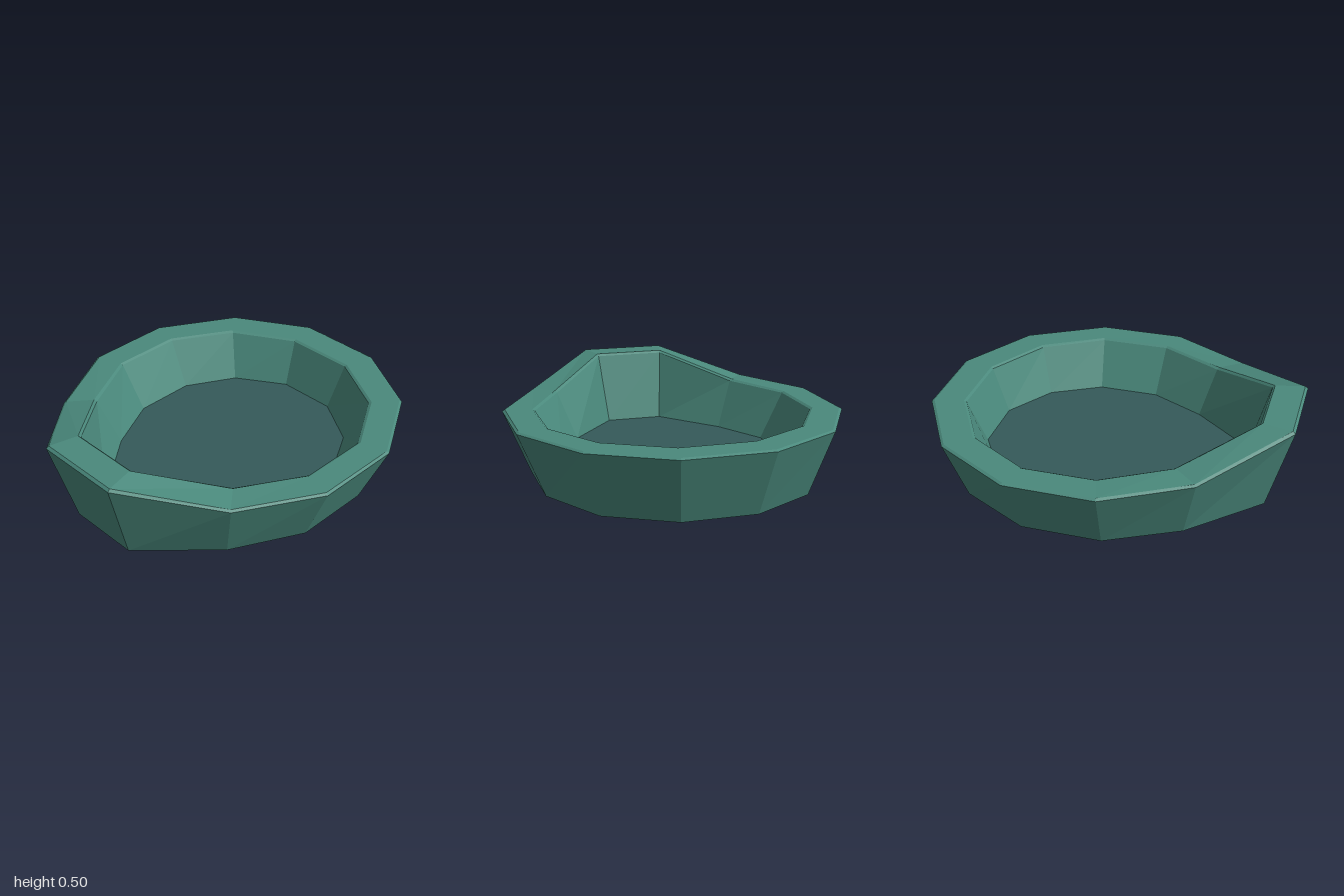
import * as THREE from 'three';

// Each half ring runs from the left side, past the front, to the raised right side.
// The back half is its mirror, giving a twelve-sided loop.
function ring(xs, zs, ys) {
  const front = xs.map((x, i) => new THREE.Vector3(x, ys[i], zs[i]));
  const back = front.map((p) => new THREE.Vector3(p.x, p.y, -p.z)).reverse();
  return [...front, ...back];
}

const level = (y) => Array(6).fill(y);

// Flat-shaded faces between successive rings
function skin(rings) {
  const points = [];
  for (let r = 0; r < rings.length - 1; r++) {
    const low = rings[r], high = rings[r + 1];
    low.forEach((a, i) => {
      const j = (i + 1) % low.length;
      points.push(a, high[i], low[j], low[j], high[i], high[j]);
    });
  }
  return finish(points);
}

// Flat polygon closing a ring, facing up
function disc(loop) {
  const centre = new THREE.Vector3(0, loop[0].y, 0);
  return finish(loop.flatMap((p, i) => [centre, loop[(i + 1) % loop.length], p]));
}

function finish(points) {
  const geometry = new THREE.BufferGeometry().setFromPoints(points);
  geometry.computeVertexNormals();
  return geometry;
}

export function createModel() {
  const group = new THREE.Group();
  group.name = 'basin';

  const shell = new THREE.MeshStandardMaterial({ color: 0x4a897c, side: THREE.DoubleSide, flatShading: true });
  shell.name = 'sea green';
  const bottom = new THREE.MeshStandardMaterial({ color: 0x355a5a, side: THREE.DoubleSide, flatShading: true });
  bottom.name = 'dark slate teal';

  // Cross-section rings, with the rim lifted into a peak on the right side
  const foot = ring([0.87, 0.67, 0.3, -0.13, -0.51, -0.87], [0.2, 0.55, 0.745, 0.745, 0.55, 0.2], level(0));
  const outer = ring([0.995, 0.755, 0.335, -0.15, -0.585, -1], [0.24, 0.65, 0.89, 0.89, 0.65, 0.24],
    [0.35, 0.35, 0.35, 0.35, 0.355, 0.483]);
  const bevel = ring([0.98, 0.745, 0.33, -0.147, -0.577, -0.985], [0.236, 0.64, 0.876, 0.876, 0.64, 0.236],
    [0.358, 0.358, 0.358, 0.36, 0.365, 0.495]);
  const lip = ring([0.82, 0.625, 0.293, -0.105, -0.46, -0.828], [0.2, 0.54, 0.733, 0.733, 0.54, 0.2],
    [0.358, 0.358, 0.358, 0.36, 0.37, 0.495]);
  const inner = ring([0.807, 0.615, 0.288, -0.1, -0.45, -0.815], [0.195, 0.528, 0.72, 0.72, 0.528, 0.195],
    [0.35, 0.35, 0.35, 0.352, 0.36, 0.483]);
  const floorEdge = ring([0.71, 0.54, 0.265, -0.075, -0.375, -0.71], [0.165, 0.432, 0.582, 0.582, 0.432, 0.16], level(0.1));

  const add = (name, geometry, material) => {
    const mesh = new THREE.Mesh(geometry, material);
    mesh.name = name;
    group.add(mesh);
  };

  add('outerWall', skin([foot, outer]), shell);
  add('rim', skin([outer, bevel, lip, inner]), shell);
  add('innerWall', skin([inner, floorEdge]), shell);
  add('floor', disc(floorEdge), bottom);

  return group;
}
